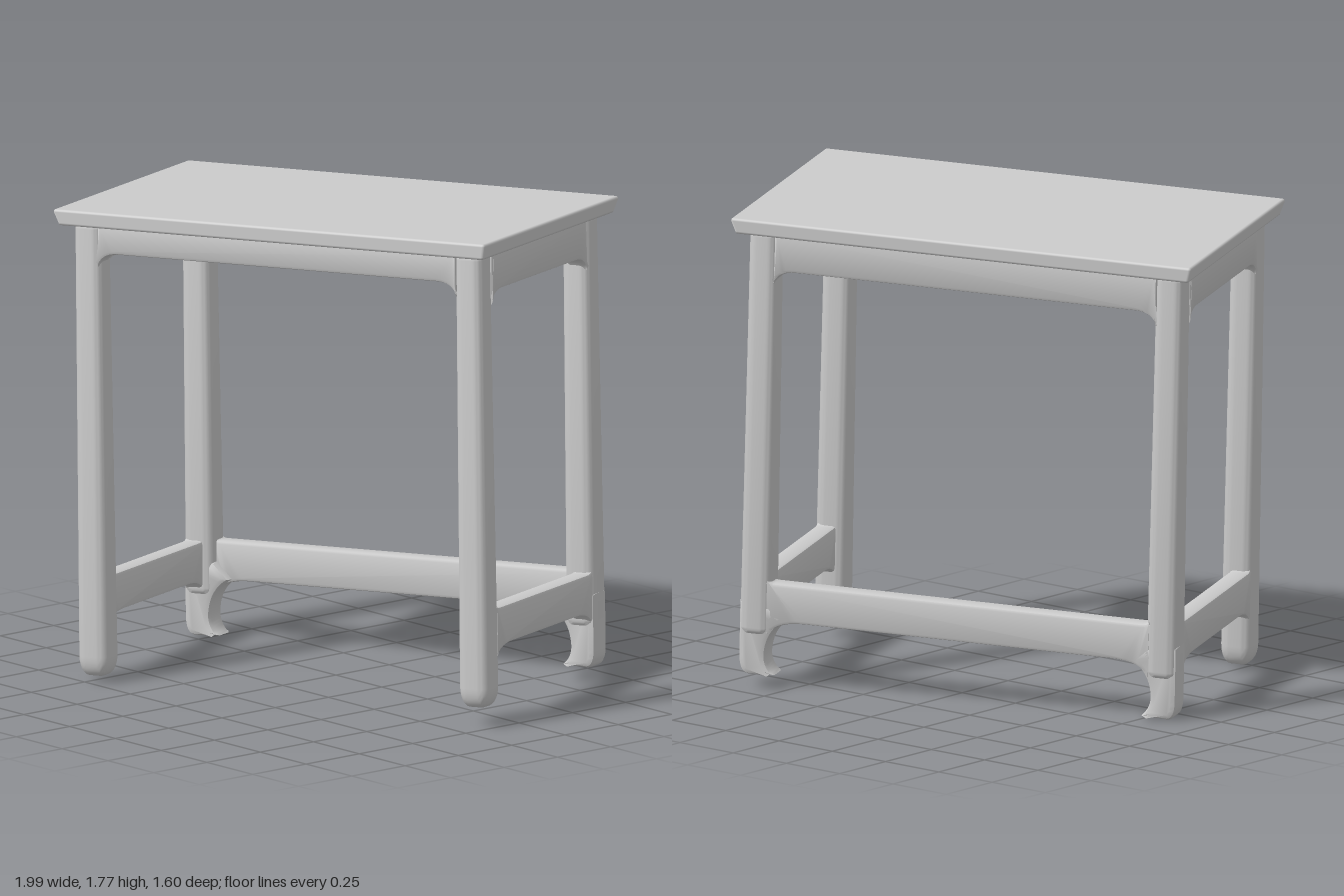
import * as THREE from 'three';
import { RoundedBoxGeometry } from 'three/addons/geometries/RoundedBoxGeometry.js';
import { toCreasedNormals } from 'three/addons/utils/BufferGeometryUtils.js';

const LEG_X = 0.765, LEG_Z = 0.41; // leg centres
const LEG_W = 0.112;

export function createModel() {
  const model = new THREE.Group();
  const table = new THREE.Group();
  table.name = 'table';
  model.add(table);
  const material = new THREE.MeshStandardMaterial({ color: 0xcccccc });

  const add = (name, geometry, x, y, z, turn = 0) => {
    const mesh = new THREE.Mesh(geometry, material);
    mesh.name = name;
    mesh.position.set(x, y, z);
    mesh.rotation.y = turn;
    table.add(mesh);
    return mesh;
  };

  // Extrudes an outline, centred on its thickness, with slightly eased edges
  const slab = (shape, thick, bevel) => {
    const g = new THREE.ExtrudeGeometry(shape, {
      depth: thick - 2 * bevel, bevelEnabled: true, bevelThickness: bevel,
      bevelSize: bevel, bevelOffset: -bevel, bevelSegments: 2, curveSegments: 8,
    });
    g.translate(0, 0, -thick / 2 + bevel);
    return toCreasedNormals(g, 0.7);
  };

  // Rail between two legs: ends flare down (and optionally up) into the legs
  const rail = (length, top, bottom, thick, flareX, down, up) => {
    const h = length / 2, s = new THREE.Shape();
    s.moveTo(-h, bottom - down);
    s.quadraticCurveTo(-h + flareX * 0.2, bottom, -h + flareX, bottom);
    s.lineTo(h - flareX, bottom);
    s.quadraticCurveTo(h - flareX * 0.2, bottom, h, bottom - down);
    s.lineTo(h, top + up);
    s.quadraticCurveTo(h, top, h - 0.03, top);
    s.lineTo(-h + 0.03, top);
    s.quadraticCurveTo(-h, top, -h, top + up);
    s.closePath();
    return slab(s, thick, 0.012);
  };

  // Leg from y = -0.04 down, swelling a little towards a rounded foot
  const leg = (bottom, pointed) => {
    const r = 0.036, len = -0.04 - bottom;
    const g = new RoundedBoxGeometry(LEG_W, len, LEG_W, 4, r);
    const p = g.attributes.position;
    for (let i = 0; i < p.count; i++) {
      const y = p.getY(i), t = 0.5 - y / len;
      const k = 0.95 + 0.13 * t;
      p.setX(i, p.getX(i) * k);
      p.setZ(i, p.getZ(i) * k);
      // Lengthen the rounding at the foot
      const over = y + len / 2 - r;
      if (pointed && over < 0.001) p.setY(i, y + 0.035 + over);
    }
    g.computeVertexNormals();
    g.translate(0, -0.04 - len / 2, 0);
    return toCreasedNormals(g, 0.9);
  };

  // Tabletop with a narrower underside
  const top = new RoundedBoxGeometry(1.733, 0.06, 1.036, 2, 0.01);
  const tp = top.attributes.position;
  for (let i = 0; i < tp.count; i++) {
    if (tp.getY(i) < 0) {
      tp.setX(i, tp.getX(i) - Math.sign(tp.getX(i)) * 0.012);
      tp.setZ(i, tp.getZ(i) - Math.sign(tp.getZ(i)) * 0.012);
    }
  }
  add('tabletop', top, 0, -0.03, 0);
  add('underside', new THREE.BoxGeometry(1.52, 0.06, 0.82), 0, -0.08, 0);

  // Front legs
  for (const s of [-1, 1]) add('frontLeg', leg(-1.695, true), s * LEG_X, 0, LEG_Z);

  // Back legs, each ending in a foot whose toe points inward
  const foot = new THREE.Shape();
  foot.moveTo(-0.06, -1.42);
  foot.lineTo(-0.06, -1.62);
  foot.quadraticCurveTo(-0.06, -1.685, -0.025, -1.69);
  foot.lineTo(0.075, -1.685);
  foot.quadraticCurveTo(0.035, -1.65, 0.042, -1.6);
  foot.quadraticCurveTo(0.05, -1.52, 0.12, -1.48);
  foot.lineTo(0.06, -1.42);
  foot.closePath();
  for (const s of [-1, 1]) {
    add('backLeg', leg(-1.55, false), s * LEG_X, 0, -LEG_Z);
    add('backFoot', slab(foot, 0.105, 0.02), s * LEG_X, 0, -LEG_Z, s > 0 ? Math.PI : 0);
  }

  // Aprons under the top
  const lenX = 2 * LEG_X - 0.09, lenZ = 2 * LEG_Z - 0.09;
  add('frontApron', rail(lenX, -0.05, -0.16, 0.08, 0.08, 0.05, 0), 0, 0, LEG_Z + 0.012);
  add('backApron', rail(lenX, -0.05, -0.195, 0.08, 0.08, 0.05, 0), 0, 0, -LEG_Z - 0.012);
  for (const s of [-1, 1])
    add('sideApron', rail(lenZ, -0.05, -0.2, 0.08, 0.08, 0.05, 0), s * (LEG_X + 0.012), 0, 0, Math.PI / 2);

  // Low stretchers at the back and sides; the front stays open
  add('backStretcher', rail(lenX, -1.345, -1.485, 0.075, 0.14, 0.06, 0.025), 0, 0, -LEG_Z - 0.015);
  for (const s of [-1, 1])
    add('sideStretcher', rail(lenZ, -1.345, -1.485, 0.075, 0.12, 0.045, 0.02), s * (LEG_X + 0.015), 0, 0, Math.PI / 2);

  // The whole table is turned and leans slightly
  const up = new THREE.Vector3(0, 1, 0);
  const lean = new THREE.Vector3(-0.04, 1, -0.016).normalize();
  table.quaternion.setFromUnitVectors(up, lean)
    .multiply(new THREE.Quaternion().setFromAxisAngle(up, 0.378));
  table.position.y = 1.73;
  return model;
}
